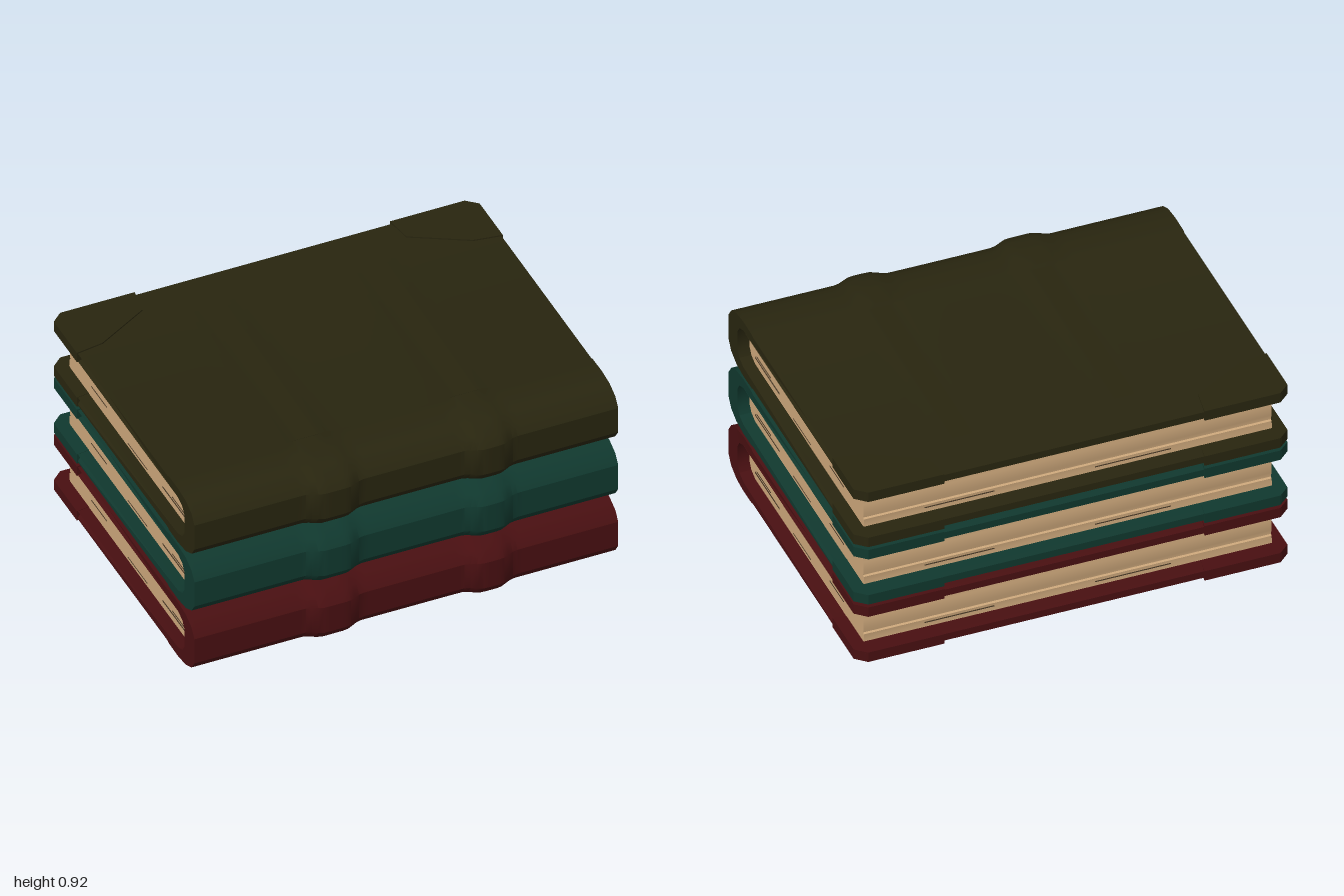
import * as THREE from 'three';
import { toCreasedNormals } from 'three/addons/utils/BufferGeometryUtils.js';

const MID = 0.153; // half height of one book

const mat = (name, color) => {
  const m = new THREE.MeshStandardMaterial({ color });
  m.name = name;
  return m;
};

// Extrude a (z, y) outline along x, centred on x = 0
function extrudeAlongX(points, width, steps) {
  const shape = new THREE.Shape(points.map(([z, y]) => new THREE.Vector2(z, y)));
  const g = new THREE.ExtrudeGeometry(shape, { depth: width, steps, bevelEnabled: false });
  g.translate(0, 0, -width / 2);
  g.rotateY(-Math.PI / 2);
  return g;
}

function moveVertices(g, rule) {
  const p = g.attributes.position;
  const v = new THREE.Vector3();
  for (let i = 0; i < p.count; i++) {
    v.fromBufferAttribute(p, i);
    rule(v);
    p.setXYZ(i, v.x, v.y, v.z);
  }
  return g;
}

const smooth = THREE.MathUtils.smoothstep;
const band = (x, a, b) => smooth(x, a - 0.05, a + 0.04) * (1 - smooth(x, b - 0.04, b + 0.05));

// Full outline from its upper half: y is measured from the book's middle
const mirrorY = (half) => [...half, ...half.slice().reverse().map(([z, y]) => [z, -y])];

// Boards and rounded spine in one C-shaped section, with raised bands
function coverGeometry() {
  const outer = [[-0.757, 0.136], [-0.71, 0.14], [0.45, 0.138], [0.465, 0.144], [0.56, 0.146],
    [0.64, 0.136], [0.7, 0.108], [0.73, 0.065]];
  const inner = [[0.628, 0.045], [0.605, 0.08], [0.56, 0.098], [-0.71, 0.098], [-0.757, 0.102]];
  const outline = [...outer, ...outer.slice().reverse().map(([z, y]) => [z, -y]),
    ...inner.slice().reverse().map(([z, y]) => [z, -y]), ...inner];
  const g = extrudeAlongX(outline, 1.99, 80);
  moveVertices(g, (v) => {
    const isInner = Math.abs(v.y) < 0.105 && v.z < 0.66;
    if (v.z > 0.46 && !isInner) {
      const b = Math.max(band(v.x, -0.43, -0.25), band(v.x, 0.32, 0.47));
      const sag = 1 - smooth(Math.abs(v.x), 0.1, 0.6);
      v.z += (v.z - 0.46) * (0.12 * b);
      v.y *= 1 + 0.05 * b - 0.02 * sag;
    }
    if (v.z < -0.75) v.x *= 0.965; // clipped rear corners
  });
  return toCreasedNormals(g, 0.6);
}

// Leather corner piece wrapping a rear corner of a board
function cornerGeometry() {
  const s = new THREE.Shape([[1, 0.72], [0.95, 0.765], [0.6, 0.765], [0.62, 0.64],
    [0.87, 0.5], [1, 0.48]].map(([x, z]) => new THREE.Vector2(x, z)));
  const g = new THREE.ExtrudeGeometry(s, { depth: 0.05, bevelEnabled: false });
  g.rotateX(-Math.PI / 2); // shape y becomes -z, depth becomes +y
  return g.translate(0, 0.096, 0);
}

// Page block with a wavy, hollow fore-edge
function pagesGeometry() {
  const half = [[0.632, 0.045], [0.607, 0.082], [0.565, 0.1], [-0.67, 0.1],
    [-0.692, 0.09], [-0.688, 0.055], [-0.68, 0.05], [-0.686, 0.025]];
  const g = extrudeAlongX(mirrorY(half).reverse(), 1.88, 1);
  return toCreasedNormals(g, 0.5);
}

// Thin dark gaps between leaves: [centre along the edge, y, length, thickness]
const endGaps = [[0.42, -0.06, 0.28, 0.006], [0.46, -0.045, 0.16, 0.004], [0.2, 0.075, 0.2, 0.004],
  [-0.08, 0.045, 0.18, 0.004], [-0.32, 0.052, 0.22, 0.005], [-0.38, -0.04, 0.16, 0.004],
  [-0.55, 0.085, 0.16, 0.004], [0.02, -0.08, 0.2, 0.003]];
const foreGaps = [[-0.7, 0.07, 0.3, 0.004], [-0.3, -0.07, 0.35, 0.004], [0.1, 0.072, 0.3, 0.004],
  [0.5, -0.068, 0.32, 0.004], [0.72, 0.075, 0.2, 0.004]];

export function createModel() {
  const model = new THREE.Group();
  model.name = 'bookStack';
  const paper = mat('paper', 0xcba67a);
  const gap = mat('pageShadow', 0x4a3a28);
  const covers = [mat('redLeather', 0x480f11), mat('greenLeather', 0x10382e), mat('oliveLeather', 0x28250f)];

  const cover = coverGeometry();
  const pages = pagesGeometry();
  const corner = cornerGeometry();

  covers.forEach((leather, i) => {
    const book = new THREE.Group();
    book.name = ['bottomBook', 'middleBook', 'topBook'][i];
    book.position.y = MID + i * 0.308;
    const add = (name, geometry, material) => {
      const m = new THREE.Mesh(geometry, material);
      m.name = name;
      book.add(m);
      return m;
    };

    add('cover', cover, leather);
    add('pages', pages, paper);

    // Four corner pieces, turned rather than mirrored where possible
    for (const side of [-1, 1]) {
      for (const face of [-1, 1]) {
        const g = corner.clone().scale(side, face, 1);
        if (side * face < 0) { // keep faces outward after a mirror
          const p = g.attributes.position;
          for (let k = 0; k < p.count; k += 3) {
            const a = new THREE.Vector3().fromBufferAttribute(p, k);
            const b = new THREE.Vector3().fromBufferAttribute(p, k + 1);
            p.setXYZ(k, b.x, b.y, b.z);
            p.setXYZ(k + 1, a.x, a.y, a.z);
          }
        }
        g.computeVertexNormals();
        add('cornerPiece', g, leather);
      }
      for (const [z, y, len, t] of endGaps) {
        add('pageGap', new THREE.BoxGeometry(0.004, t, len), gap).position.set(side * 0.94, y, z);
      }
    }
    for (const [x, y, len, t] of foreGaps) {
      add('pageGap', new THREE.BoxGeometry(len, t, 0.008), gap).position.set(x, y, -0.688);
    }
    model.add(book);
  });
  return model;
}
